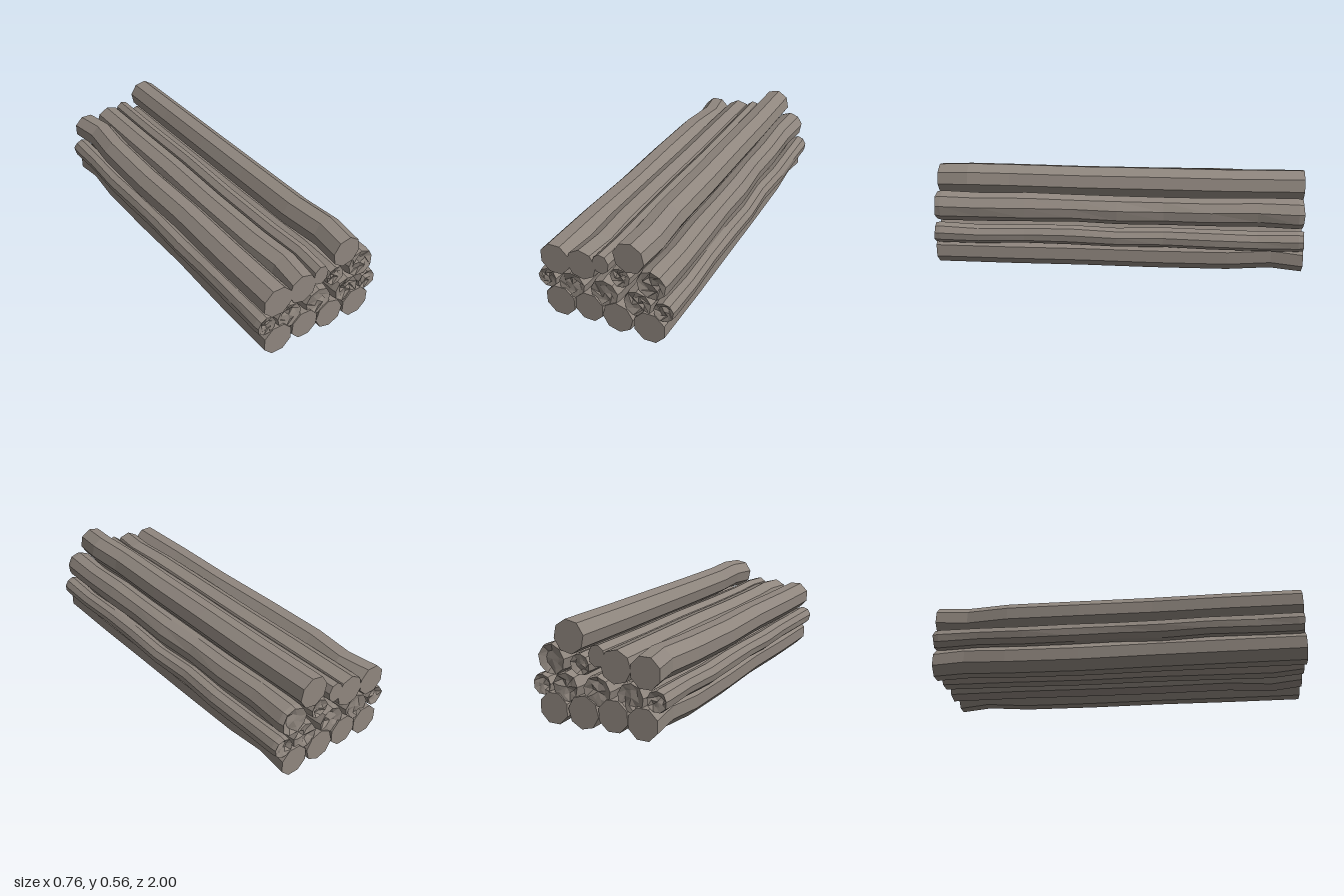
import * as THREE from 'three';

// Small seeded generator for the natural irregularity of the wood
function seeded(seed) {
  let s = seed * 7919 + 13;
  return () => {
    s = (s * 16807) % 2147483647;
    return s / 2147483647 - 0.5;
  };
}

// Skins a list of rings { x, y, z, r, turn, chip } that run from front to back
function loft(rings, sides, rot, squash, rnd) {
  const pos = [];
  const index = [];
  for (const g of rings) {
    for (let i = 0; i < sides; i++) {
      const a = rot + (g.turn || 0) + (i / sides) * Math.PI * 2;
      const r = g.r * (1 + (g.wobble || 0) * rnd());
      pos.push(g.x + Math.cos(a) * r * squash, g.y + Math.sin(a) * r, g.z + (g.chip || 0) * rnd());
    }
  }
  for (let k = 0; k < rings.length - 1; k++) {
    for (let i = 0; i < sides; i++) {
      const j = (i + 1) % sides;
      const a = k * sides + i, b = k * sides + j;
      const c = a + sides, d = b + sides;
      if (rings[k].r > 0) index.push(a, c, b);
      else index.push(a, c, d);
      if (rings[k].r > 0 && rings[k + 1].r > 0) index.push(b, c, d);
    }
  }
  const geo = new THREE.BufferGeometry();
  geo.setAttribute('position', new THREE.Float32BufferAttribute(pos, 3));
  geo.setIndex(index);
  geo.computeVertexNormals();
  return geo;
}

// Sawn log: flat ends and a crook (kx, ky) near one end
function sawnLog({ x, y, r, rot = Math.PI / 8, kx, ky, end = 1, rest = 0.2, squash = 1 }, seed) {
  const rnd = seeded(seed);
  const stations = [[1, 0], [0.83, 1], [0.6, rest], [0.2, rest * 0.6], [-0.2, rest], [-0.6, rest * 0.5], [-1, rest * 0.4]];
  const rings = stations.map(([z, f], i) => ({
    x: x + kx * f + (i > 1 ? rnd() * 0.008 : 0),
    y: y + ky * f + (i > 1 ? rnd() * 0.006 : 0),
    z: z * end,
    r: r * (i === 0 ? 0.97 : 1),
  }));
  if (end < 0) rings.reverse();
  const first = rings[0], last = rings[rings.length - 1];
  return loft([{ ...first, r: 0 }, ...rings, { ...last, r: 0 }], 8, rot, squash, rnd);
}

// Split log: gently wavy, with broken, twisted ends
function brokenLog({ x, y, r, rot = 0.2 }, seed) {
  const rnd = seeded(seed);
  const end = (s) => [
    { x, y, z: s * 0.985, r: 0 },
    { x, y, z: s * 0.982, r: r * 0.5, turn: 0.6, wobble: 0.4, chip: 0.022 },
    { x, y, z: s * 0.994, r: r * 0.93, chip: 0.008 },
    { x, y, z: s * 0.965, r },
  ];
  const body = [0.75, 0.5, 0.25, 0, -0.25, -0.5, -0.75].map((z) => ({
    x: x + rnd() * 0.016,
    y: y + rnd() * 0.012,
    z,
    r: r * (0.95 + rnd() * 0.08),
    wobble: 0.06,
  }));
  return loft([...end(1), ...body, ...end(-1).reverse()], 9, rot, 1, rnd);
}

export function createModel() {
  const model = new THREE.Group();
  model.name = 'logPile';
  const wood = new THREE.MeshStandardMaterial({ color: 0x8f867e, flatShading: true });
  wood.name = 'weatheredWood';

  const sawn = {
    // bottom row
    bottomLogFarRight: { x: -0.25, y: 0.095, r: 0.087, kx: 0.012, ky: 0.016, end: -1 },
    bottomLogRight: { x: -0.086, y: 0.112, r: 0.085, rot: 0.35, kx: -0.012, ky: -0.02, rest: 0.7 },
    bottomLogLeft: { x: 0.074, y: 0.1, r: 0.087, rot: 0.12, kx: 0.01, ky: -0.014 },
    bottomLogFarLeft: { x: 0.25, y: 0.095, r: 0.087, kx: -0.012, ky: 0.016, end: -1 },
    // top row
    topLogFarRight: { x: -0.267, y: 0.345, r: 0.086, kx: 0.028, ky: 0.002, end: -1 },
    topLogRight: { x: -0.115, y: 0.354, r: 0.085, rot: 0.12, kx: 0.02, ky: 0.003, rest: 0.4 },
    thinLog: { x: -0.006, y: 0.388, r: 0.056, rot: 0.2, kx: 0.012, ky: 0.004, squash: 0.82, rest: 0.4 },
    // single log on top of the pile
    crownLog: { x: 0.147, y: 0.465, r: 0.086, rot: 0.6, kx: 0.016, ky: 0.008, rest: 0.1 },
  };

  const broken = {
    // middle row
    middleLogFarRight: { x: -0.321, y: 0.214, r: 0.057 },
    middleLogRight: { x: -0.182, y: 0.21, r: 0.078 },
    middleLogCentre: { x: 0, y: 0.214, r: 0.082 },
    middleLogLeft: { x: 0.182, y: 0.21, r: 0.078 },
    middleLogFarLeft: { x: 0.32, y: 0.206, r: 0.057 },
    // top row
    topLogSmall: { x: 0.093, y: 0.336, r: 0.057 },
    topLogFarLeft: { x: 0.259, y: 0.34, r: 0.083 },
  };

  let seed = 1;
  const add = (name, geo) => {
    const mesh = new THREE.Mesh(geo, wood);
    mesh.name = name;
    model.add(mesh);
  };
  for (const [name, log] of Object.entries(sawn)) add(name, sawnLog(log, seed++));
  for (const [name, log] of Object.entries(broken)) add(name, brokenLog(log, seed++));
  return model;
}
